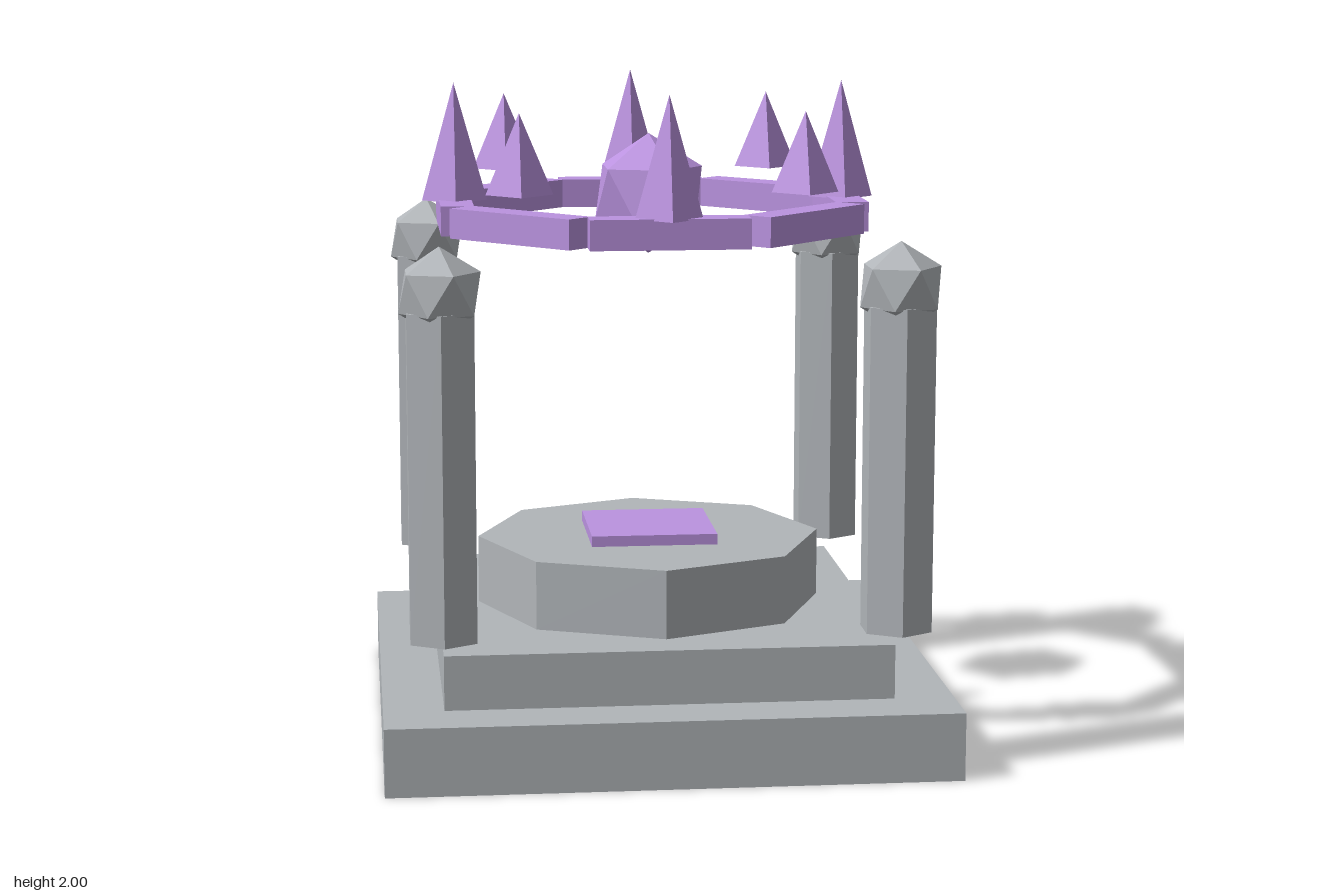
import * as THREE from 'three';

const stone = new THREE.MeshStandardMaterial({ color: 0xb1b5b9, flatShading: true });
stone.name = 'grey stone';
const crystal = new THREE.MeshStandardMaterial({ color: 0xbb93e0, flatShading: true });
crystal.name = 'purple crystal';

// Twenty-sided gem standing on one of its points
function gem(radius) {
  return new THREE.IcosahedronGeometry(radius, 0).rotateZ(-Math.atan(2 / (1 + Math.sqrt(5))));
}

export function createModel() {
  const model = new THREE.Group();
  model.name = 'shrine';

  function add(name, geometry, material, x, y, z, turn = 0) {
    const mesh = new THREE.Mesh(geometry, material);
    mesh.name = name;
    mesh.position.set(x, y, z);
    mesh.rotation.y = turn;
    model.add(mesh);
  }

  // Stepped base, octagonal dais and altar plate
  add('lowerStep', new THREE.BoxGeometry(1.7, 0.205, 1.7), stone, 0, 0.1025, 0);
  add('upperStep', new THREE.BoxGeometry(1.34, 0.165, 1.34), stone, 0, 0.2875, 0);
  add('dais', new THREE.CylinderGeometry(0.537, 0.537, 0.21, 8), stone, 0, 0.475, 0);
  add('altarPlate', new THREE.BoxGeometry(0.39, 0.033, 0.39), crystal, 0, 0.597, 0);

  // Floating hexagonal pillars with faceted caps
  const pillar = new THREE.CylinderGeometry(0.112, 0.112, 0.97, 6);
  const cap = gem(0.133);
  for (const x of [-0.67, 0.67]) {
    for (const z of [-0.67, 0.67]) {
      add('pillar', pillar, stone, x, 0.905, z);
      add('pillarCap', cap, stone, x, 1.444, z);
    }
  }

  // Floating crown: eight bars, tall spikes on the axes, short raised ones between
  const bar = new THREE.BoxGeometry(0.47, 0.09, 0.1);
  const tallSpike = new THREE.ConeGeometry(0.1, 0.36, 4);
  const shortSpike = new THREE.ConeGeometry(0.1, 0.24, 4);
  for (let i = 0; i < 8; i++) {
    const a = (i * Math.PI) / 4;
    const x = 0.6 * Math.sin(a);
    const z = 0.6 * Math.cos(a);
    add('crownBar', bar, crystal, x, 1.6, z, a);
    if (i % 2 === 0) add('tallSpike', tallSpike, crystal, x, 1.82, z);
    else add('shortSpike', shortSpike, crystal, x, 1.817, z);
  }

  // Gem hovering in the middle of the crown
  add('centreGem', gem(0.186), crystal, 0, 1.655, 0);

  return model;
}
